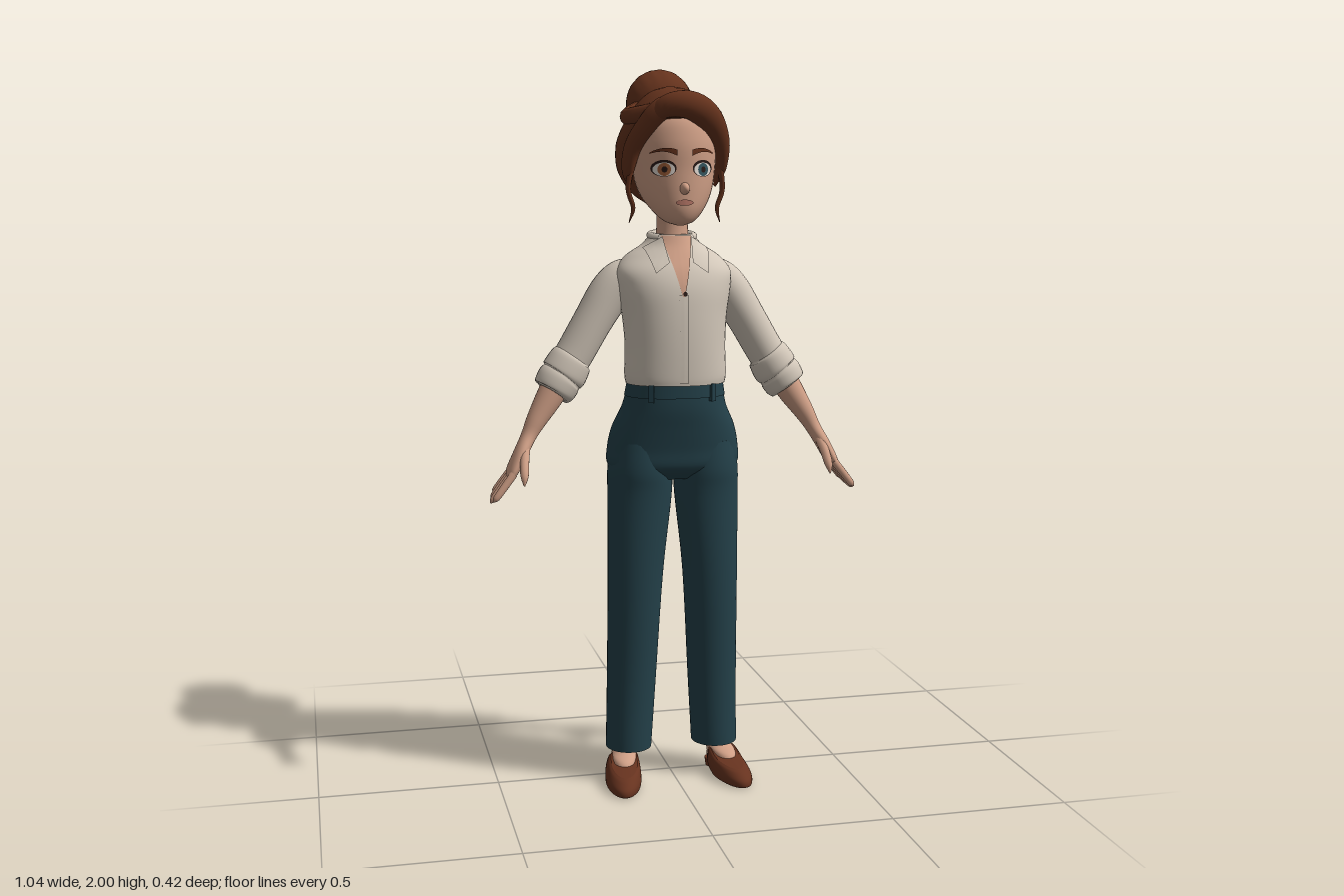
import * as THREE from 'three';

const paint = (name, color, side = THREE.FrontSide) => {
  const m = new THREE.MeshStandardMaterial({ color, side });
  m.name = name;
  return m;
};

// Smooth body through sections [x, y, z, sideRadius, depthRadius, squareness].
// flat keeps every ring horizontal; otherwise rings turn with the path.
function loft(sections, { flat = false, seg = 28, steps = 5, s = 1 } = {}) {
  const mid = new THREE.CatmullRomCurve3(sections.map(p => new THREE.Vector3(p[0] * s, p[1], p[2])), false, 'catmullrom');
  const rad = new THREE.CatmullRomCurve3(sections.map(p => new THREE.Vector3(p[3], p[4], p[5] ?? 2)), false, 'catmullrom');
  const rows = (sections.length - 1) * steps, pos = [], idx = [], Z = new THREE.Vector3(0, 0, 1);
  const power = (v, e) => Math.sign(v) * Math.abs(v) ** (2 / e);
  const up = Math.sign(sections.at(-1)[1] - sections[0][1]);
  for (let i = 0; i <= rows; i++) {
    const c = mid.getPoint(i / rows), r = rad.getPoint(i / rows);
    const t = flat ? new THREE.Vector3(0, up, 0) : mid.getTangent(i / rows);
    const U = new THREE.Vector3().crossVectors(Z, t).normalize(), V = new THREE.Vector3().crossVectors(t, U);
    for (let j = 0; j < seg; j++) {
      const a = j / seg * Math.PI * 2;
      const p = c.clone().addScaledVector(U, Math.max(r.x, 0) * power(Math.cos(a), r.z))
        .addScaledVector(V, Math.max(r.y, 0) * power(Math.sin(a), r.z));
      pos.push(p.x, p.y, p.z);
      if (i < rows) {
        const k = i * seg + j, n = i * seg + (j + 1) % seg;
        idx.push(k, n, k + seg, n, n + seg, k + seg);
      }
    }
  }
  // End caps on their own vertices, so the rims stay crisp
  for (const [row, flip] of [[0, true], [rows, false]]) {
    const c = mid.getPoint(row / rows), base = pos.length / 3;
    pos.push(c.x, c.y, c.z, ...pos.slice(row * seg * 3, (row + 1) * seg * 3));
    for (let j = 0; j < seg; j++) {
      const a = base + 1 + j, b = base + 1 + (j + 1) % seg;
      idx.push(base, flip ? b : a, flip ? a : b);
    }
  }
  const g = new THREE.BufferGeometry();
  g.setAttribute('position', new THREE.Float32BufferAttribute(pos, 3));
  g.setIndex(idx);
  g.computeVertexNormals();
  return g;
}

// Thin sheet laid on the front of a mesh; rule maps u, v in -1..1 to x, y.
function drape(target, rule, lift = 0.004, n = 10) {
  const g = new THREE.PlaneGeometry(2, 2, n, n), p = g.attributes.position, ray = new THREE.Raycaster();
  let z = 0.12;
  for (let i = 0; i < p.count; i++) {
    const [x, y] = rule(p.getX(i), p.getY(i));
    ray.set(new THREE.Vector3(x, y, 1), new THREE.Vector3(0, 0, -1));
    const hit = ray.intersectObject(target)[0];
    if (hit) z = hit.point.z;
    p.setXYZ(i, x, y, z + lift);
  }
  g.computeVertexNormals();
  return g;
}
const oval = (cx, cy, rx, ry) => (u, v) => [cx + rx * u * Math.sqrt(1 - v * v / 2), cy + ry * v * Math.sqrt(1 - u * u / 2)];

export function createModel() {
  const model = new THREE.Group();
  const D = THREE.DoubleSide;
  const skin = paint('skin', 0xcf9f86, D), hair = paint('hair', 0x66331d), shirt = paint('shirt', 0xd2c7b9, D);
  const pants = paint('trousers', 0x24414a), shoe = paint('shoe leather', 0x67331f), dark = paint('lash and button', 0x2b1b17);
  const white = paint('eye white', 0xe6ded6), teal = paint('teal iris', 0x35565f), amber = paint('amber iris', 0xa8643c), lip = paint('lips', 0xb87868);
  const add = (name, geo, mat, parent = model) => {
    const m = new THREE.Mesh(geo, mat);
    m.name = name;
    parent.add(m);
    return m;
  };
  const ball = (name, mat, c, r) => {
    const m = add(name, new THREE.SphereGeometry(1, 32, 24), mat);
    m.position.set(...c);
    m.scale.set(...r);
    return m;
  };

  // Head and neck
  const head = add('head', loft([[0, 1.574, .125, .01, .015], [0, 1.585, .112, .04, .05], [0, 1.615, .09, .07, .085], [0, 1.66, .062, .097, .115],
    [0, 1.72, .045, .111, .131], [0, 1.80, .04, .115, .135], [0, 1.87, .03, .095, .115], [0, 1.91, .02, .02, .02]], { flat: true, seg: 40 }), skin);
  add('neck', loft([[0, 1.46, .03, .06, .055], [0, 1.53, .027, .047, .048], [0, 1.59, .03, .043, .042], [0, 1.68, .03, .05, .05]], { flat: true }), skin);
  ball('nose', skin, [0, 1.672, .176], [.013, .016, .026]);
  add('mouth', drape(head, oval(0, 1.635, .024, .008), .004), lip);

  // Eyes and brows
  for (const s of [-1, 1]) {
    const x = s * .053, y = 1.722;
    add('lashes', drape(head, oval(x, y + .003, .031, .022), .003), dark);
    add('eyeWhite', drape(head, oval(x, y, .027, .018), .005), white);
    add('iris', drape(head, oval(x, y, .016, .017), .007), s > 0 ? teal : amber);
    add('pupil', drape(head, oval(x, y, .007, .008), .009), dark);
    add('eyebrow', drape(head, (u, v) => [x + .033 * u, 1.773 + .005 * v * (1 - .6 * u * s) - .008 * u * u], .005), hair);
  }

  // Hair: swept-up mass, bun, crossing fringe rolls and loose strands
  add('hairMass', loft([[0, 1.62, -.025, .045, .03], [0, 1.66, -.04, .10, .064], [0, 1.72, -.038, .138, .092], [0, 1.78, -.027, .145, .106],
    [0, 1.82, -.005, .138, .125], [0, 1.86, .022, .122, .138], [0, 1.90, .025, .094, .118], [0, 1.932, .02, .055, .075], [0, 1.947, .005, .004, .004]],
  { flat: true, seg: 48 }), hair);
  const bun = ball('bun', hair, [0, 1.906, -.13], [.094, .094, .083]);
  const bp = bun.geometry.attributes.position;
  for (let i = 0; i < bp.count; i++) {
    const x = bp.getX(i), y = bp.getY(i), k = 1 - .018 * Math.abs(Math.sin(9 * x + 3 * y)) * Math.sqrt(Math.max(0, 1 - x * x));
    bp.setXYZ(i, x * k, y * k, bp.getZ(i) * k);
  }
  bun.geometry.computeVertexNormals();
  const wrap = add('bunWrap', new THREE.TorusGeometry(.068, .018, 12, 36), hair);
  wrap.position.set(0, 1.872, -.085);
  wrap.rotation.x = -.65;
  add('fringeSweep', loft([[-.085, 1.845, .125, .012, .012], [-.045, 1.885, .158, .03, .026], [.015, 1.89, .168, .037, .03], [.07, 1.86, .145, .038, .028],
    [.112, 1.80, .1, .03, .03], [.128, 1.73, .055, .016, .03], [.12, 1.68, .03, .004, .008]]), hair);
  add('fringeSide', loft([[.01, 1.905, .15, .012, .012], [-.05, 1.885, .145, .028, .025], [-.092, 1.835, .12, .028, .027],
    [-.121, 1.78, .085, .024, .03], [-.129, 1.72, .055, .016, .03], [-.12, 1.68, .03, .004, .008]]), hair);
  for (const s of [-1, 1]) {
    const roll = new THREE.CatmullRomCurve3([[.06, 1.875, .135], [.108, 1.865, .06], [.112, 1.865, -.01], [.07, 1.885, -.09]].map(p => new THREE.Vector3(p[0] * s, p[1], p[2])));
    add('sideRoll', new THREE.TubeGeometry(roll, 24, .025, 12), hair);
    add('looseStrand', loft([[.122, 1.74, .075, .009, .012], [.131, 1.67, .07, .007, .01], [.117, 1.62, .068, .006, .007], [.127, 1.58, .06, .001, .001]], { s, seg: 10 }), hair);
  }

  // Shirt with open neck, collar, placket and button
  const torso = add('shirtBody', loft([[0, 1.143, .066, .137, .106, 2.2], [0, 1.17, .066, .141, .108, 2.2], [0, 1.25, .064, .139, .111, 2.2], [0, 1.33, .055, .145, .117, 2.2],
    [0, 1.40, .047, .157, .117, 2.2], [0, 1.45, .038, .16, .108, 2.2], [0, 1.49, .027, .13, .093], [0, 1.52, .023, .084, .077], [0, 1.548, .025, .06, .062]],
  { flat: true, seg: 48 }), shirt);
  add('openNeckline', drape(torso, (u, v) => [u * (.003 + .02 * (v + 1)), 1.465 + .08 * v], .004, 16), skin);
  add('placket', drape(torso, (u, v) => [.012 * u, 1.27 + .12 * v], .004), shirt);
  add('button', drape(torso, oval(.003, 1.392, .006, .006), .009), dark);
  for (const s of [-1, 1]) {
    const [a, b, c, d] = [[.072, 1.447], [.032, 1.475], [.04, 1.543], [.09, 1.513]];
    add('collarFlap', drape(torso, (u, v) => {
      const p = (1 + u * s) / 2, q = (1 + v) / 2, mix = i => (1 - q) * (b[i] + p * (a[i] - b[i])) + q * (c[i] + p * (d[i] - c[i]));
      return [s * mix(0), mix(1)];
    }, .012), shirt);
  }
  const stand = add('collarStand', new THREE.TorusGeometry(.059, .011, 10, 40, Math.PI * 1.5), shirt);
  stand.geometry.rotateZ(-Math.PI / 4).rotateX(-Math.PI / 2);
  stand.position.set(0, 1.543, .025);
  stand.rotation.x = .1;

  // Arms: sleeve, rolled cuff, forearm with palm, fingers
  for (const s of [-1, 1]) {
    const arm = new THREE.Group();
    arm.name = s > 0 ? 'leftArm' : 'rightArm';
    model.add(arm);
    add('sleeve', loft([[.10, 1.445, .01, .04, .055], [.135, 1.425, .005, .055, .062], [.172, 1.385, .005, .058, .062], [.22, 1.31, .008, .054, .058],
      [.27, 1.225, .01, .053, .055], [.31, 1.163, .014, .052, .052]], { s }), shirt, arm);
    add('rolledCuff', loft([[.277, 1.212, .011, .052, .052], [.283, 1.203, .012, .06, .06], [.302, 1.17, .015, .064, .062], [.309, 1.16, .016, .059, .058],
      [.318, 1.148, .018, .062, .06], [.332, 1.123, .021, .058, .056], [.336, 1.117, .022, .045, .045]], { s }), shirt, arm);
    add('forearmAndPalm', loft([[.30, 1.18, .015, .042, .042], [.345, 1.105, .025, .037, .038], [.383, 1.045, .037, .028, .03], [.408, 1.0, .046, .021, .026],
      [.434, .952, .06, .019, .037], [.456, .91, .064, .016, .043], [.467, .89, .063, .007, .036]], { s }), skin, arm);
    for (let i = 0; i < 4; i++) {
      const len = [.82, .96, 1.05, .95][i], z0 = .031 + .022 * i, z1 = .024 + .027 * i, at = (k, r) => [.455 + .058 * k * len, .908 - .075 * k * len, z0 + (z1 - z0) * k, r, r];
      add('finger', loft([at(0, .011), at(.5, .0105), at(.9, .009), at(1.03, .002)], { s, seg: 12, steps: 4 }), skin, arm);
    }
    add('thumb', loft([[.418, .975, .065, .013, .014], [.426, .94, .098, .013, .014], [.43, .905, .125, .011, .011], [.432, .88, .135, .002, .002]], { s, seg: 12 }), skin, arm);
  }

  // Trousers: hips, waistband, loops and legs
  add('hips', loft([[0, 1.152, .063, .129, .1, 2.2], [0, 1.08, .053, .145, .108, 2.2], [0, 1.02, .041, .172, .109, 2.2], [0, .96, .035, .185, .103, 2.3],
    [0, .91, .036, .182, .094, 2.4], [0, .875, .04, .13, .06]], { flat: true, seg: 48 }), pants);
  add('waistband', loft([[0, 1.148, .063, .133, .104, 2.2], [0, 1.108, .058, .14, .109, 2.2]], { flat: true, seg: 48 }), pants);
  for (const [x, z, turn] of [[-.085, .15, -.45], [.085, .15, .45], [.075, -.033, -.35], [-.075, -.033, .35], [0, -.047, 0]]) {
    const loop = add('beltLoop', new THREE.BoxGeometry(.014, .048, .014), pants);
    loop.position.set(x, 1.122, z);
    loop.rotation.y = turn;
  }
  for (const s of [-1, 1]) {
    add('trouserLeg', loft([[.095, .98, .036, .08, .09], [.095, .9, .038, .09, .093], [.096, .82, .04, .09, .083], [.108, .6, .038, .078, .077],
      [.118, .3, .026, .07, .071], [.126, .09, .02, .065, .071]], { s, flat: true, seg: 36 }), pants);

    // Foot and slip-on shoe, toes turned out
    const foot = new THREE.Group();
    foot.name = s > 0 ? 'leftFoot' : 'rightFoot';
    foot.position.set(s * .135, 0, 0);
    foot.rotation.y = s * .14;
    model.add(foot);
    add('ankle', loft([[0, .16, .0, .032, .035], [0, .09, .008, .033, .043], [.003, .065, .035, .036, .066], [.004, .04, .045, .036, .07]], { s, flat: true }), skin, foot);
    const g = loft([[.008, 0, .085, .043, .118], [.008, .008, .085, .05, .126], [.007, .03, .084, .05, .124], [.005, .05, .075, .044, .113], [.004, .058, .07, .037, .1]],
      { s, flat: true, seg: 40 });
    const p = g.attributes.position;
    for (let i = 0; i < p.count; i++) {
      const z = p.getZ(i), y = p.getY(i);
      const lift = .014 * (1 - THREE.MathUtils.smoothstep(z, .03, .1));
      p.setX(i, p.getX(i) * (z < .03 ? .8 : 1));
      p.setY(i, lift + y * (1.05 - 1.9 * Math.max(0, z - .03)));
    }
    g.computeVertexNormals();
    add('shoe', g, shoe, foot);
    const heel = add('heel', new THREE.CylinderGeometry(.033, .03, .022, 24), shoe, foot);
    heel.position.set(s * .005, .011, -.003);
  }
  return model;
}
